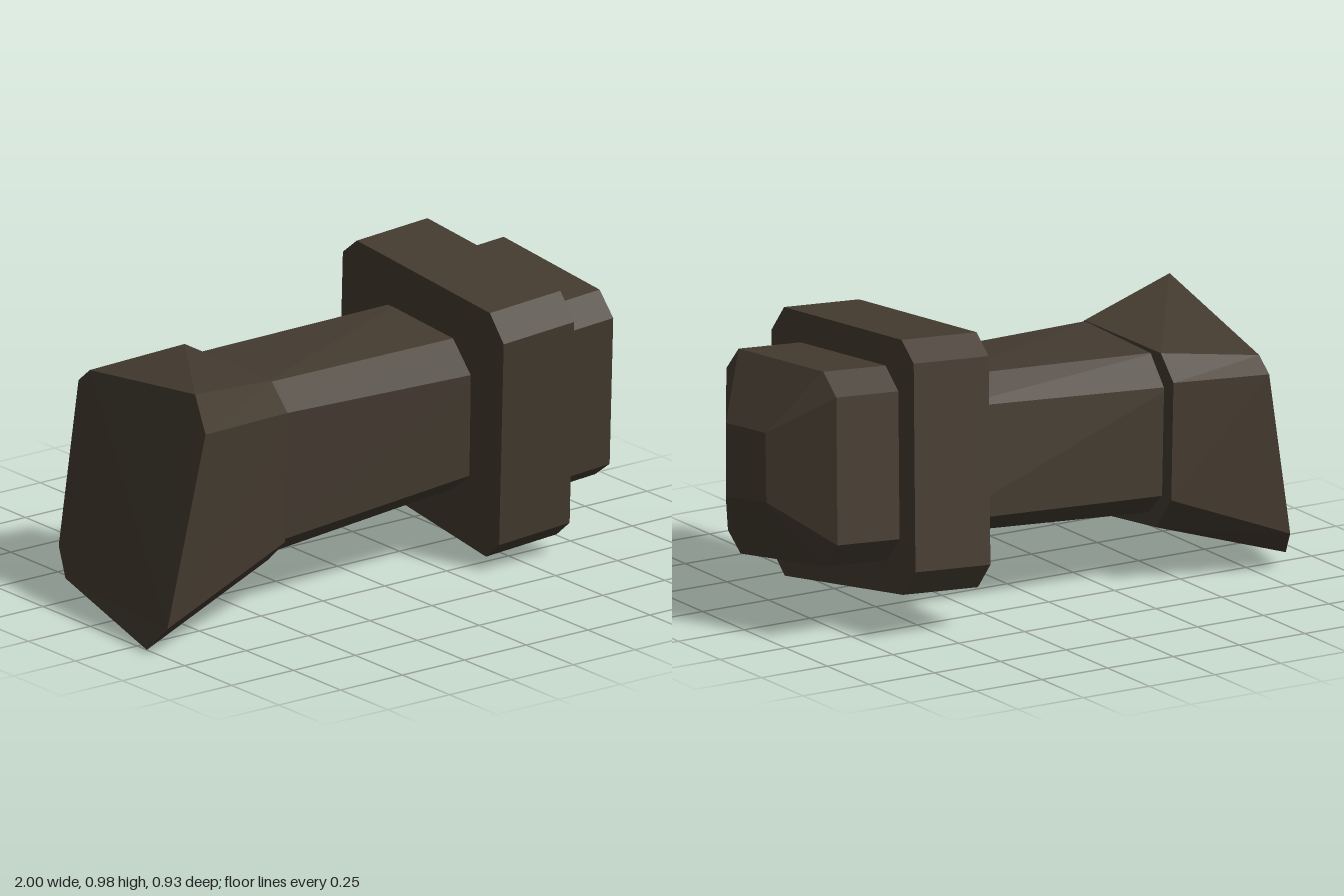
import * as THREE from 'three';

// Cross-section as [z, y] corners, lying in a slightly leaning plane at x
const ring = (x, pts, dy = 0, lean = -0.07) =>
  pts.map(([z, y]) => [x + lean * (y - 0.5), y + dy, z]);

// Skins rings ordered by rising x and closes both ends
function loft(name, rings, material, fan = 0) {
  const pos = [];
  const same = (a, b) => a.every((v, i) => Math.abs(v - b[i]) < 1e-6);
  const tri = (a, b, c) => {
    if (!same(a, b) && !same(b, c) && !same(a, c)) pos.push(...a, ...b, ...c);
  };
  const n = rings[0].length;
  for (let i = 0; i < rings.length - 1; i++) {
    for (let j = 0; j < n; j++) {
      const k = (j + 1) % n;
      const a = rings[i][j], b = rings[i][k], c = rings[i + 1][k], d = rings[i + 1][j];
      tri(a, d, c);
      tri(a, c, b);
    }
  }
  const first = rings[0], last = rings[rings.length - 1];
  for (let s = 1; s < n - 1; s++) {
    const j = (fan + s) % n, k = (fan + s + 1) % n;
    tri(first[fan], first[j], first[k]);
    tri(last[fan], last[k], last[j]);
  }
  const geometry = new THREE.BufferGeometry();
  geometry.setAttribute('position', new THREE.Float32BufferAttribute(pos, 3));
  geometry.computeVertexNormals();
  const mesh = new THREE.Mesh(geometry, material);
  mesh.name = name;
  return mesh;
}

export function createModel() {
  const stone = new THREE.MeshStandardMaterial({ color: 0x443b30, flatShading: true });
  stone.name = 'dark brown stone';
  const group = new THREE.Group();
  group.name = 'fallenPost';

  // Corners run: top front, top back, down the back, bottom, up the front
  const collar = [[0.4, 0.92], [-0.3, 0.98], [-0.38, 0.92], [-0.465, 0.25],
    [-0.4, 0.16], [0.3, 0.055], [0.375, 0.115], [0.465, 0.83]];
  group.add(loft('collar', [ring(0.34, collar, -0.018), ring(0.625, collar)], stone));

  // Cap: straight block, then a taper to a small four-sided tip
  const cap = [[0.29, 0.845], [-0.215, 0.89], [-0.3, 0.825], [-0.36, 0.35],
    [-0.295, 0.265], [0.205, 0.187], [0.288, 0.245], [0.355, 0.765]];
  const t = [[0.135, 0.657], [-0.1, 0.68], [-0.13, 0.457], [0.11, 0.42]];
  const tip = [t[0], t[1], t[1], t[2], t[2], t[3], t[3], t[0]];
  group.add(loft('cap', [ring(0.6, cap, -0.017), ring(0.862, cap), ring(0.995, tip)], stone));

  // Shaft between base and collar
  const shaftLow = [[0.2, 0.765], [-0.2, 0.755], [-0.285, 0.66], [-0.29, 0.3],
    [-0.21, 0.225], [0.15, 0.16], [0.245, 0.235], [0.28, 0.68]];
  const shaftHigh = [[0.19, 0.755], [-0.15, 0.78], [-0.24, 0.7], [-0.28, 0.335],
    [-0.2, 0.275], [0.15, 0.235], [0.235, 0.3], [0.275, 0.65]];
  group.add(loft('shaft', [ring(-0.45, shaftLow, 0, 0), ring(0.4, shaftHigh, 0.003)], stone));

  // Flared base with a skewed end and a small step at the back
  const neck = [[0.2, 0.768], [-0.26, 0.77], [-0.34, 0.69], [-0.345, 0.3],
    [-0.26, 0.19], [0.16, 0.147], [0.25, 0.23], [0.282, 0.68]];
  const end = [[-0.82, 0.835, 0.32], [-0.75, 0.73, -0.33], [-0.75, 0.68, -0.39],
    [-0.83, 0.135, -0.39], [-0.86, 0.05, -0.315], [-1, 0, 0.3],
    [-1, 0.1, 0.41], [-0.85, 0.73, 0.415]];
  group.add(loft('base', [end, ring(-0.412, neck, 0, -0.03)], stone, 6));

  return group;
}
